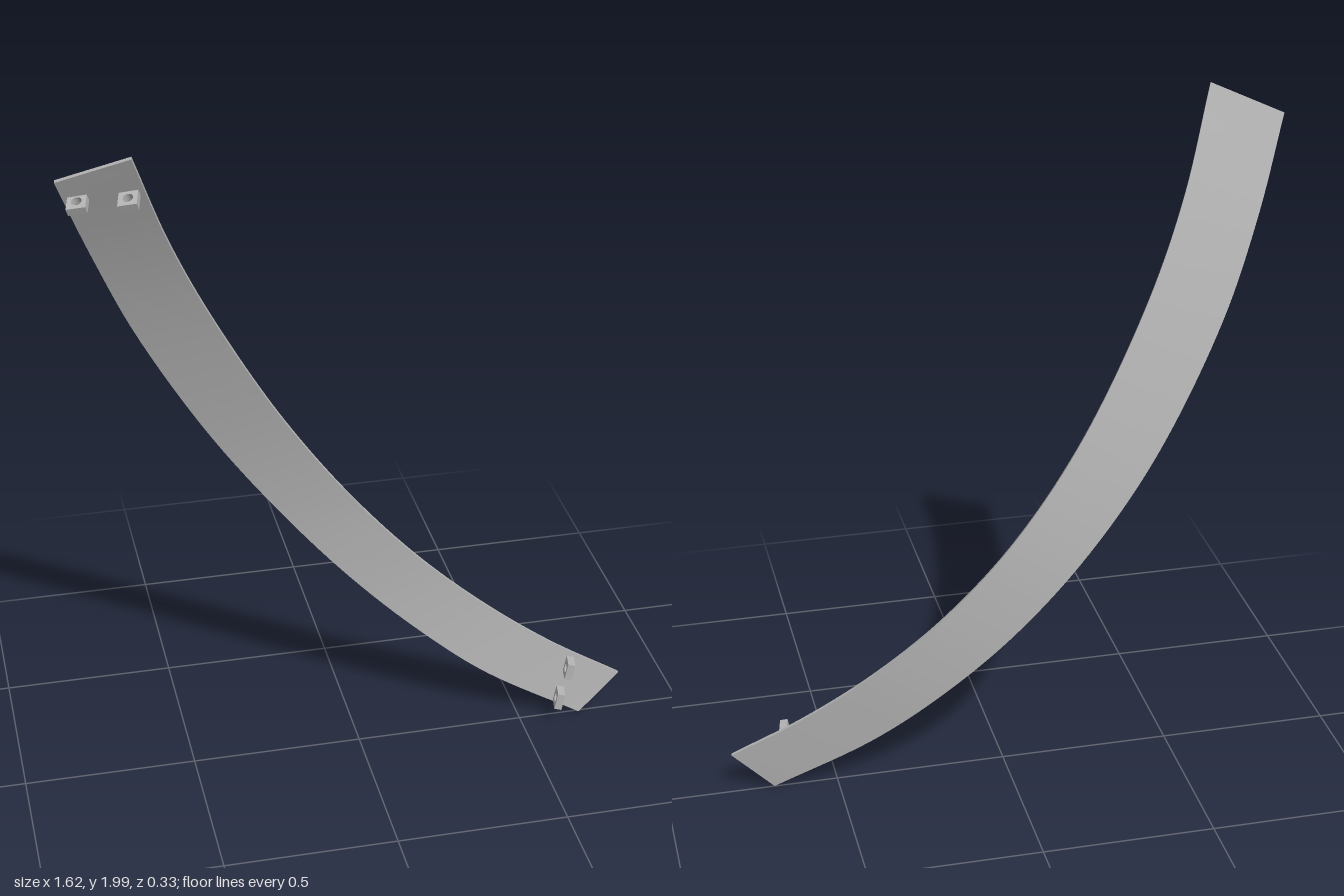
import * as THREE from 'three';

const V = (x, y, z) => new THREE.Vector3(x, y, z);
const curve = pts => new THREE.CatmullRomCurve3(pts.map(p => V(...p)));

// Long edges of the twisted, curved band
const lowerEdge = curve([
  [-0.81, 1.92, 0.08], [-0.715, 1.66, -0.015], [-0.6, 1.385, -0.087], [-0.4, 1.02, -0.148],
  [-0.2, 0.735, -0.16], [0, 0.5, -0.138], [0.2, 0.31, -0.098], [0.4, 0.157, -0.052], [0.685, 0.005, 0.005]]);
const upperEdge = curve([
  [-0.62, 1.997, 0.155], [-0.52, 1.71, 0.045], [-0.4, 1.44, -0.035], [-0.2, 1.073, -0.103],
  [0, 0.785, -0.122], [0.2, 0.56, -0.105], [0.4, 0.385, -0.074], [0.6, 0.245, -0.036], [0.806, 0.13, 0.002]]);

function bandGeometry(segments, thickness) {
  // Four corners of the cross-section at each station
  const rings = [];
  for (let i = 0; i <= segments; i++) {
    const t = i / segments;
    const a = lowerEdge.getPointAt(t), b = upperEdge.getPointAt(t);
    const along = lowerEdge.getTangentAt(t).add(upperEdge.getTangentAt(t));
    const back = b.clone().sub(a).cross(along).normalize().multiplyScalar(thickness / 2);
    rings.push([a.clone().add(back), b.clone().add(back), b.clone().sub(back), a.clone().sub(back)]);
  }
  const pos = [], index = [];
  // Separate strips keep the edges sharp and the faces smooth
  for (let k = 0; k < 4; k++) {
    const start = pos.length / 3;
    rings.forEach((r, i) => {
      pos.push(...r[k].toArray(), ...r[(k + 1) % 4].toArray());
      if (i < segments) {
        const o = start + i * 2;
        index.push(o, o + 1, o + 2, o + 1, o + 3, o + 2);
      }
    });
  }
  // End caps
  [rings[0].slice().reverse(), rings[segments]].forEach(r => {
    const o = pos.length / 3;
    r.forEach(p => pos.push(...p.toArray()));
    index.push(o, o + 1, o + 2, o, o + 2, o + 3);
  });
  const g = new THREE.BufferGeometry();
  g.setAttribute('position', new THREE.Float32BufferAttribute(pos, 3));
  g.setIndex(index);
  g.computeVertexNormals();
  return g;
}

// Square lug with a round hole, extruded along the hole axis
function lugGeometry(width, height, depth, hole) {
  const w = width / 2, h = height / 2;
  const s = new THREE.Shape([[-w, -h], [w, -h], [w, h], [-w, h]].map(p => new THREE.Vector2(...p)));
  const ring = new THREE.Path();
  ring.absarc(0, 0, hole, 0, Math.PI * 2, true);
  s.holes.push(ring);
  const g = new THREE.ExtrudeGeometry(s, { depth, bevelEnabled: false, curveSegments: 16 });
  return g.translate(0, 0, -depth / 2);
}

export function createModel() {
  const model = new THREE.Group();
  model.name = 'curvedBand';
  const grey = new THREE.MeshStandardMaterial({ color: 0xb4b4b4 });
  grey.name = 'grey';

  const band = new THREE.Mesh(bandGeometry(64, 0.01), grey);
  band.name = 'band';
  model.add(band);

  // Mounting lugs on the front face: centre, long direction, outward direction
  const lug = lugGeometry(0.052, 0.052, 0.022, 0.014);
  const topOut = V(-0.22, -0.37, 0.9), topLong = V(0.97, 0.2, 0.3);
  const lowOut = V(-0.2, 0.05, 0.97), lowLong = V(0.2, 1, 0);
  [
    ['upperLugRight', V(-0.755, 1.857, 0.09), topLong, topOut],
    ['upperLugLeft', V(-0.628, 1.87, 0.127), topLong, topOut],
    ['lowerLugLeft', V(0.645, 0.175, 0.016), lowLong, lowOut],
    ['lowerLugRight', V(0.615, 0.077, 0.024), lowLong, lowOut],
  ].forEach(([name, centre, long, out]) => {
    const y = out.clone().normalize();
    const z = long.clone().cross(y).normalize();
    const x = y.clone().cross(z);
    const m = new THREE.Mesh(lug, grey);
    m.name = name;
    m.quaternion.setFromRotationMatrix(new THREE.Matrix4().makeBasis(x, y, z));
    m.position.copy(centre);
    model.add(m);
  });
  return model;
}
